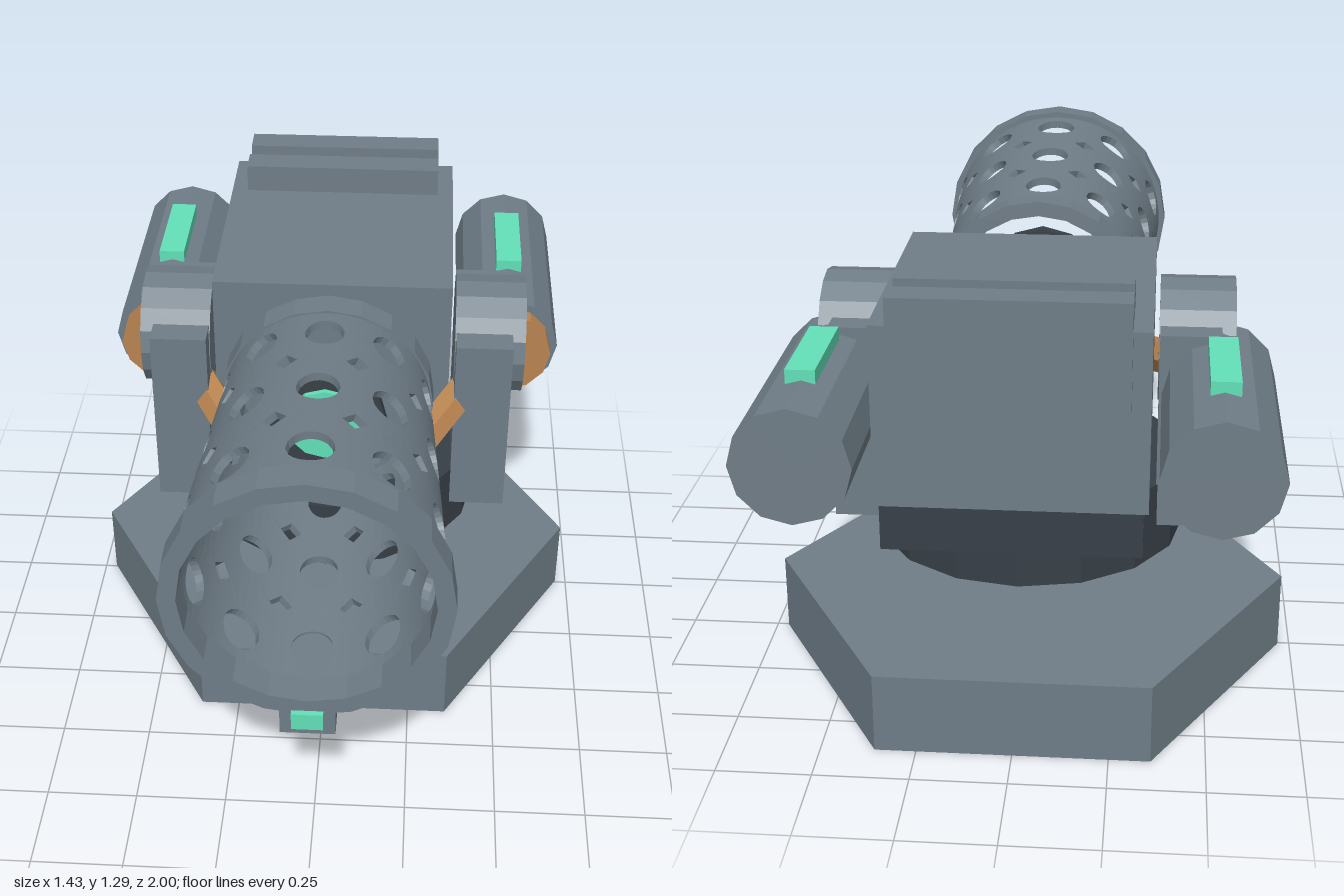
import * as THREE from 'three';

const mat = (color) => new THREE.MeshStandardMaterial({ color, flatShading: true, side: THREE.DoubleSide });
const AXIS_Y = 0.93; // height of the barrel axis

export function createModel() {
  const root = new THREE.Group();
  const steel = mat(0x6f7d87), dark = mat(0x373f47), copper = mat(0xb98350), glow = mat(0x62e0b8);

  const add = (name, geometry, material, x = 0, y = 0, z = 0, parent = root) => {
    const mesh = new THREE.Mesh(geometry, material);
    mesh.name = name;
    mesh.position.set(x, y, z);
    parent.add(mesh);
    return mesh;
  };
  // box given by its low and high corners
  const box = (name, material, [x0, y0, z0], [x1, y1, z1], parent = root) =>
    add(name, new THREE.BoxGeometry(x1 - x0, y1 - y0, z1 - z0), material,
      (x0 + x1) / 2, (y0 + y1) / 2, (z0 + z1) / 2, parent);
  // cylinder lying along z between z0 and z1
  const cylZ = (name, material, r, sides, x, y, z0, z1, parent = root) =>
    add(name, new THREE.CylinderGeometry(r, r, z1 - z0, sides).rotateX(Math.PI / 2),
      material, x, y, (z0 + z1) / 2, parent);

  // hexagonal base and turntable floating above it
  add('base', new THREE.CylinderGeometry(0.717, 0.717, 0.22, 6).rotateY(Math.PI / 2), steel, 0, 0.11, -0.255);
  add('turntable', new THREE.CylinderGeometry(0.427, 0.427, 0.21, 16), dark, 0, 0.495, -0.255);

  // main housing with top plates and cooling fins underneath
  box('housing', steel, [-0.337, 0.7, -0.865], [0.337, 1.17, -0.1]);
  for (const z of [-0.75, -0.895]) box('topPlate', steel, [-0.29, 0.97, z], [0.29, 1.25, z + 0.085]);
  for (let i = 0; i < 4; i++) {
    const z = -0.52 - i * 0.107;
    box('coolingFin', dark, [-0.325, 0.58, z - 0.02], [0.325, 0.72, z + 0.02]);
  }

  // side arms, pivots, thruster pods and struts, mirrored
  for (const s of [1, -1]) {
    const side = new THREE.Group();
    side.name = s > 0 ? 'leftSide' : 'rightSide';
    root.add(side);
    const sbox = (name, m, x0, x1, y0, y1, z0, z1) =>
      box(name, m, [Math.min(s * x0, s * x1), y0, z0], [Math.max(s * x0, s * x1), y1, z1], side);
    sbox('arm', steel, 0.353, 0.513, 0.48, 1.02, -0.475, -0.03);
    add('pivot', new THREE.CylinderGeometry(0.17, 0.17, 0.2, 16).rotateZ(Math.PI / 2),
      steel, s * 0.45, 0.937, -0.255, side);
    cylZ('pod', steel, 0.15, 12, s * 0.51, 0.858, -1, -0.32, side);
    cylZ('podCollar', copper, 0.128, 12, s * 0.51, 0.858, -0.325, -0.27, side);
    sbox('podLight', glow, 0.475, 0.55, 0.99, 1.035, -0.82, -0.51);

    const a = new THREE.Vector3(s * 0.26, 0.775, 0.085), b = new THREE.Vector3(s * 0.4, 0.835, -0.15);
    const strut = add('strut', new THREE.CylinderGeometry(0.05, 0.05, a.distanceTo(b), 6), copper, 0, 0, 0, side);
    strut.position.copy(a).add(b).multiplyScalar(0.5);
    strut.quaternion.setFromUnitVectors(new THREE.Vector3(0, 1, 0), b.clone().sub(a).normalize());
  }

  // barrel: perforated sleeve, end rings and lamp
  const barrel = new THREE.Group();
  barrel.name = 'barrel';
  barrel.position.y = AXIS_Y;
  root.add(barrel);
  add('sleeve', sleeveGeometry(), steel, 0, 0, 0, barrel);
  const ring = (name, rIn, rOut, z0, z1) => {
    const profile = [[rIn, z0], [rOut, z0], [rOut, z1], [rIn, z1], [rIn, z0]].map((p) => new THREE.Vector2(...p));
    add(name, new THREE.LatheGeometry(profile, 20).rotateX(Math.PI / 2), steel, 0, 0, 0, barrel);
  };
  ring('frontRing', 0.31, 0.356, 0.903, 0.985);
  ring('rearRing', 0.25, 0.292, 0.045, 0.125);
  cylZ('lampBack', dark, 0.168, 12, 0, 0, 0.195, 0.225, barrel);
  cylZ('lamp', glow, 0.108, 12, 0, 0, 0.225, 0.24, barrel);

  // sight under the muzzle
  box('sight', steel, [-0.07, 0.51, 0.722], [0.07, 0.62, 0.984]);
  box('sightLight', glow, [-0.04, 0.538, 0.97], [0.04, 0.588, 1]);
  return root;
}

// Tapered tube of 10 x 3 cells: a round hole in each cell, diamonds where four cells meet
function sleeveGeometry() {
  const COLS = 10, ROWS = 3, Z0 = 0.09, Z1 = 0.94, WALL = 0.022, STEPS = 4, BANDS = 3;
  const halfA = Math.PI / COLS, halfZ = (Z1 - Z0) / ROWS / 2;
  const holeA = 0.18, holeZ = 0.064, diaA = 0.105, diaZ = 0.034;
  const out = [];
  const place = ([a, z], inset) => {
    const r = 0.282 + 0.058 * (z - Z0) / (Z1 - Z0) - inset;
    return [r * Math.sin(a), r * Math.cos(a), z];
  };
  const quad = (a, b, c, d) => out.push(...a, ...b, ...c, ...a, ...c, ...d);

  for (let row = 0; row < ROWS; row++) {
    // cell outline, corners cut where a diamond sits
    const corners = [];
    for (const [sa, sz] of [[1, 1], [-1, 1], [-1, -1], [1, -1]]) {
      const cut = sz > 0 ? row < ROWS - 1 : row > 0;
      const alongZ = [sa * halfA, sz * (halfZ - (cut ? diaZ : 0)), false];
      const alongA = [sa * (halfA - (cut ? diaA : 0)), sz * halfZ, false];
      const pair = sa * sz > 0 ? [alongZ, alongA] : [alongA, alongZ];
      if (cut) { pair[0][2] = true; corners.push(...pair); } else corners.push(alongZ);
    }
    // sample the outline and match each point to the hole rim
    const rim = [];
    corners.forEach((p, i) => {
      const q = corners[(i + 1) % corners.length];
      const n = p[2] ? 2 : STEPS;
      for (let k = 0; k < n; k++) {
        const a = p[0] + (q[0] - p[0]) * k / n, z = p[1] + (q[1] - p[1]) * k / n;
        const t = Math.atan2(z / holeZ, a / holeA);
        rim.push({ outer: [a, z], inner: [holeA * Math.cos(t), holeZ * Math.sin(t)], cut: p[2] });
      }
    });
    for (let col = 0; col < COLS; col++) {
      const ca = col * 2 * halfA, cz = Z0 + (2 * row + 1) * halfZ;
      const at = (p, s, inset) => place([
        ca + p.inner[0] + (p.outer[0] - p.inner[0]) * s,
        cz + p.inner[1] + (p.outer[1] - p.inner[1]) * s], inset);
      rim.forEach((p, i) => {
        const q = rim[(i + 1) % rim.length];
        for (let b = 0; b < BANDS; b++) {
          const s = b / BANDS, t = (b + 1) / BANDS;
          quad(at(p, s, 0), at(q, s, 0), at(q, t, 0), at(p, t, 0));
          quad(at(p, s, WALL), at(p, t, WALL), at(q, t, WALL), at(q, s, WALL));
        }
        quad(at(p, 0, 0), at(p, 0, WALL), at(q, 0, WALL), at(q, 0, 0));
        if (p.cut) quad(at(p, 1, 0), at(q, 1, 0), at(q, 1, WALL), at(p, 1, WALL));
      });
    }
  }
  const geometry = new THREE.BufferGeometry();
  geometry.setAttribute('position', new THREE.Float32BufferAttribute(out, 3));
  geometry.computeVertexNormals();
  return geometry;
}
